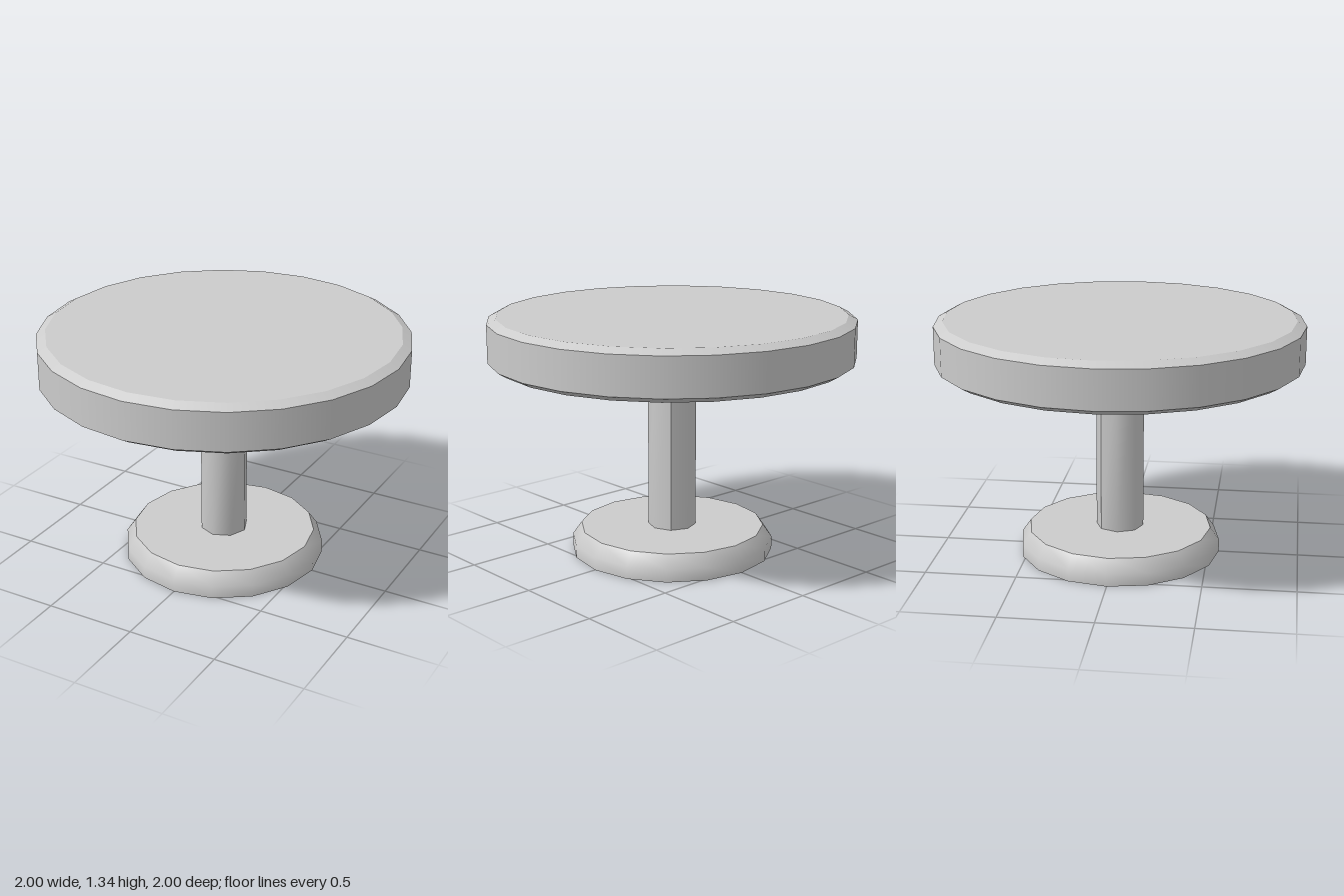
import * as THREE from 'three';
import { mergeGeometries } from 'three/addons/utils/BufferGeometryUtils.js';

const material = new THREE.MeshStandardMaterial({ color: 0xcccccc });

// Turned part: each strip of [radius, y] points is smooth, with hard edges between strips
function turned(name, sides, strips) {
  const parts = strips.map((strip) =>
    new THREE.LatheGeometry(strip.map(([r, y]) => new THREE.Vector2(r, y)), sides));
  const mesh = new THREE.Mesh(mergeGeometries(parts), material);
  mesh.name = name;
  return mesh;
}

// Part of a faceted column wall; its ends stay hard edges
function wallArc(radius, y0, y1, segments, start, length) {
  const g = new THREE.CylinderGeometry(radius, radius, y1 - y0, segments, 1, true, start, length);
  g.translate(0, (y0 + y1) / 2, 0);
  g.computeVertexNormals();
  return g;
}

export function createModel() {
  const table = new THREE.Group();
  table.name = 'pedestalTable';

  // Round top with bevelled rims
  table.add(turned('tabletop', 24, [
    [[0, 1.07], [0.95, 1.07], [1, 1.1]],
    [[1, 1.1], [1, 1.308]],
    [[1, 1.308], [0.95, 1.335]],
    [[0.95, 1.335], [0, 1.335]],
  ]));

  // Eight-sided post, smooth at the front and sides, creased at the back
  const post = new THREE.Mesh(mergeGeometries([
    wallArc(0.132, 0.13, 1.08, 6, -0.75 * Math.PI, 1.5 * Math.PI),
    wallArc(0.132, 0.13, 1.08, 2, 0.75 * Math.PI, 0.5 * Math.PI),
  ]), material);
  post.name = 'post';
  table.add(post);

  // Foot with a softened shoulder
  table.add(turned('foot', 16, [
    [[0, 0], [0.56, 0]],
    [[0.56, 0], [0.56, 0.07], [0.51, 0.14]],
    [[0.51, 0.14], [0, 0.14]],
  ]));

  return table;
}
